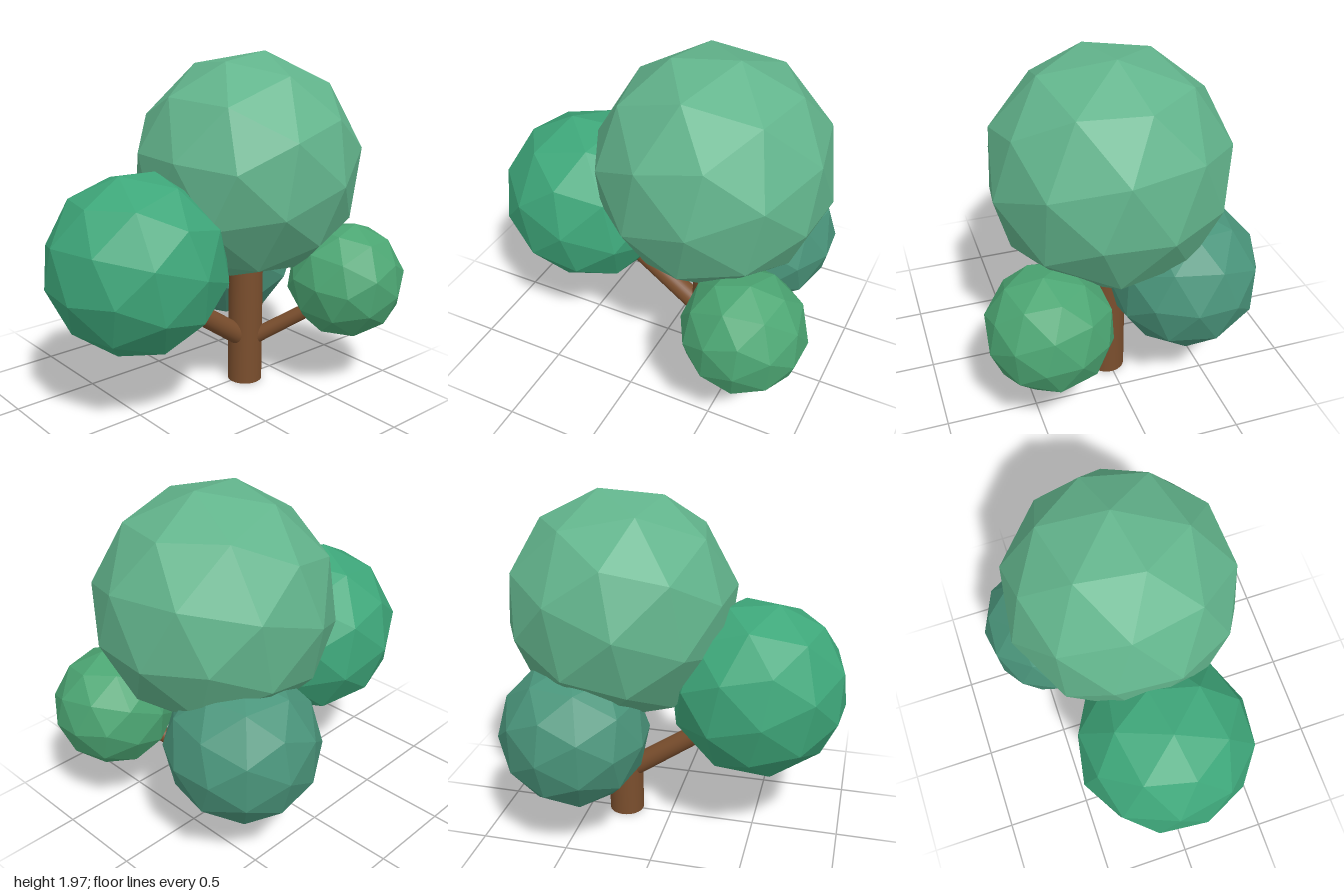
import * as THREE from 'three';

const bark = new THREE.MeshStandardMaterial({ color: 0x7a4e2d });

// Tapered round limb between two points
function limb(name, from, to, r0, r1) {
  const a = new THREE.Vector3(...from), b = new THREE.Vector3(...to);
  const dir = b.clone().sub(a);
  const mesh = new THREE.Mesh(new THREE.CylinderGeometry(r1, r0, dir.length(), 32), bark);
  mesh.position.copy(a).add(b).multiplyScalar(0.5);
  mesh.quaternion.setFromUnitVectors(new THREE.Vector3(0, 1, 0), dir.normalize());
  mesh.name = name;
  return mesh;
}

// Faceted ball of leaves
function foliage(name, position, radius, rotation, color) {
  const mesh = new THREE.Mesh(
    new THREE.IcosahedronGeometry(radius, 1),
    new THREE.MeshStandardMaterial({ color, flatShading: true })
  );
  mesh.position.set(...position);
  mesh.rotation.set(...rotation, 'ZYX');
  mesh.name = name;
  return mesh;
}

export function createModel() {
  const tree = new THREE.Group();
  tree.name = 'tree';

  // Trunk and the two side branches
  tree.add(
    limb('trunk', [0.28, 0, 0.01], [0.28, 0.9, 0.01], 0.103, 0.1),
    limb('rightBranch', [0.27, 0.265, 0.01], [-0.33, 0.685, 0.01], 0.062, 0.054),
    limb('leftBranch', [0.28, 0.245, 0.02], [0.56, 0.55, 0.4], 0.047, 0.04)
  );

  // Leaf clusters
  tree.add(
    foliage('mainFoliage', [0.28, 1.33, 0.01], 0.655, [0, 0.2, -0.19], 0x62b48c),
    foliage('rightFoliage', [-0.5, 0.905, 0.005], 0.505, [0, 0.18, 0.2], 0x3ea77a),
    foliage('frontFoliage', [0.665, 0.675, 0.45], 0.34, [0.1, 0.23, -0.07], 0x4ca673),
    foliage('backFoliage', [0.46, 0.7, -0.37], 0.42, [-0.03, -0.19, 0], 0x4a957b)
  );
  return tree;
}
